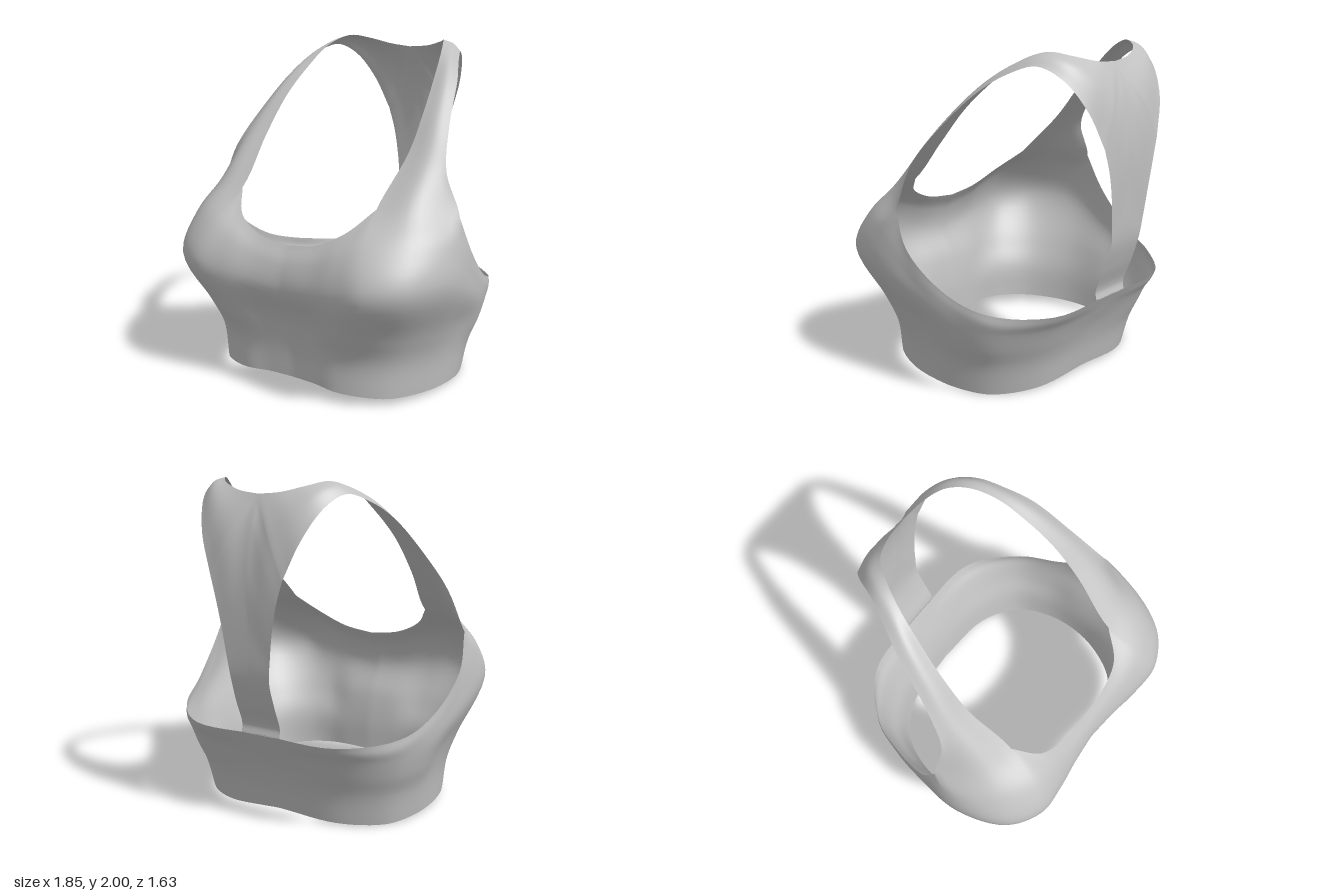
import * as THREE from 'three';
import { mergeVertices, mergeGeometries } from 'three/addons/utils/BufferGeometryUtils.js';

const STEPS = 6; // subdivisions between neighbouring control points
const NECK = 3, ARM = 5; // body control columns where the strap's two edges begin

// Smooth curve through points, sampled STEPS times per span
function smooth(points) {
  const curve = new THREE.CatmullRomCurve3(points);
  return curve.getPoints((points.length - 1) * STEPS);
}
const section = (pts) => smooth(pts.map((p) => new THREE.Vector3(...p)));

// Joins neighbouring columns of points; columns may differ in length
function skin(columns, sx) {
  const pos = [], index = [], start = [];
  for (const col of columns) {
    start.push(pos.length / 3);
    for (const p of col) pos.push(p.x * sx, p.y, p.z);
  }
  for (let j = 0; j + 1 < columns.length; j++) {
    const rows = Math.min(columns[j].length, columns[j + 1].length);
    for (let i = 0; i + 1 < rows; i++) {
      const a = start[j] + i, b = start[j + 1] + i;
      if (sx > 0) index.push(a, b, b + 1, a, b + 1, a + 1);
      else index.push(a, b + 1, b, a, a + 1, b + 1);
    }
  }
  const g = new THREE.BufferGeometry();
  g.setAttribute('position', new THREE.Float32BufferAttribute(pos, 3));
  g.setIndex(index);
  return g;
}

// Half sections of the body, front centre round to back centre
const hem = [[0, .08, .64], [.17, .08, .65], [.32, .07, .66], [.46, .06, .62], [.6, .045, .52], [.71, .035, .3],
  [.74, .025, .08], [.71, .01, -.12], [.62, 0, -.3], [.38, .01, -.45], [0, .035, -.48]];
const band = [[0, .27, .65], [.17, .27, .66], [.33, .27, .665], [.48, .27, .63], [.63, .26, .52], [.74, .25, .3],
  [.765, .23, .06], [.74, .2, -.15], [.64, .19, -.35], [.4, .19, -.49], [0, .19, -.515]];
const underbust = [[0, .47, .69], [.18, .46, .7], [.36, .45, .735], [.53, .45, .7], [.69, .44, .57], [.8, .43, .32],
  [.81, .4, .05], [.79, .34, -.16], [.69, .32, -.38], [.43, .32, -.54], [0, .32, -.56]];
const bust = [[0, .65, .76], [.2, .67, .78], [.4, .7, .81], [.6, .73, .815], [.8, .74, .69], [.915, .73, .4],
  [.88, .58, .06], [.825, .48, -.18], [.72, .44, -.41], [.46, .44, -.59], [0, .44, -.62]];
const upper = [[0, .8, .735], [.21, .83, .74], [.38, .9, .74], [.55, .96, .71], [.77, .97, .58], [.9, .94, .33],
  [.89, .72, .08], [.84, .59, -.17], [.74, .51, -.42], [.47, .5, -.63], [0, .5, -.65]];
const topEdge = [[0, .9, .67], [.2, .93, .665], [.37, 1.015, .62], [.485, 1.14, .48], [.69, 1.155, .43], [.867, 1.09, .215],
  [.89, .87, .105], [.84, .66, -.15], [.75, .57, -.4], [.48, .545, -.65], [0, .555, -.68]];

// Strap sections: neckline edge, middle, armhole edge
const strap = [
  [[.52, 1.42, .2], [.65, 1.4, .22], [.765, 1.33, .195]],
  [[.505, 1.65, 0], [.6, 1.63, .02], [.68, 1.57, .02]],
  [[.465, 1.82, -.18], [.54, 1.82, -.18], [.6, 1.79, -.21]],
  [[.42, 1.94, -.33], [.48, 1.925, -.335], [.53, 1.885, -.35]],
  [[.35, 2, -.48], [.41, 1.98, -.495], [.46, 1.935, -.5]],
  [[.27, 1.98, -.59], [.345, 1.945, -.62], [.4, 1.865, -.64]],
  [[.14, 1.945, -.65], [.25, 1.85, -.715], [.325, 1.7, -.75]],
  [[0, 1.93, -.665], [.135, 1.72, -.77], [.24, 1.49, -.8]],
];

// Back panel sections: centre, middle, armhole edge, going down
const racer = [
  strap[strap.length - 1],
  [[0, 1.77, -.74], [.11, 1.56, -.793], [.2, 1.35, -.805]],
  [[0, 1.52, -.79], [.09, 1.35, -.8], [.168, 1.19, -.8]],
  [[0, 1.2, -.79], [.075, 1.12, -.79], [.147, 1.04, -.79]],
  [[0, .92, -.775], [.065, .91, -.775], [.13, .9, -.775]],
  [[0, .75, -.727], [.065, .75, -.727], [.13, .75, -.727]],
  [[0, .6, -.67], [.065, .6, -.67], [.13, .6, -.67]],
  [[0, .55, -.679], [.065, .55, -.679], [.13, .55, -.678]],
];

export function createModel() {
  // Top edge: neckline, strap root and armhole are separate curves meeting at corners
  const edgeRow = [
    ...section(topEdge.slice(0, NECK + 1)),
    ...section(topEdge.slice(NECK, ARM + 1)).slice(1),
    ...section(topEdge.slice(ARM)).slice(1),
  ];
  const bodyRows = [...[hem, band, underbust, bust, upper].map(section), edgeRow];
  const strapRows = strap.map(section);

  // Columns between the two corners run on up into the strap
  const bodyColumns = edgeRow.map((_, j) => {
    const col = bodyRows.map((r) => r[j]);
    const k = j - NECK * STEPS;
    if (k >= 0 && j <= ARM * STEPS) col.push(...strapRows.map((r) => r[k]));
    return smooth(col);
  });
  const racerRows = racer.map(section);
  const racerColumns = racerRows[0].map((_, j) => smooth(racerRows.map((r) => r[j])));

  // Both halves welded into one continuous piece of fabric
  const parts = [1, -1].flatMap((sx) => [skin(bodyColumns, sx), skin(racerColumns, sx)]);
  const geometry = mergeVertices(mergeGeometries(parts), 1e-4);
  geometry.computeVertexNormals();

  const fabric = new THREE.MeshStandardMaterial({ color: 0xc0c0c0, side: THREE.DoubleSide });
  fabric.name = 'greyFabric';
  const mesh = new THREE.Mesh(geometry, fabric);
  mesh.name = 'racerbackTop';

  const group = new THREE.Group();
  group.name = 'sportsTop';
  group.add(mesh);
  return group;
}
